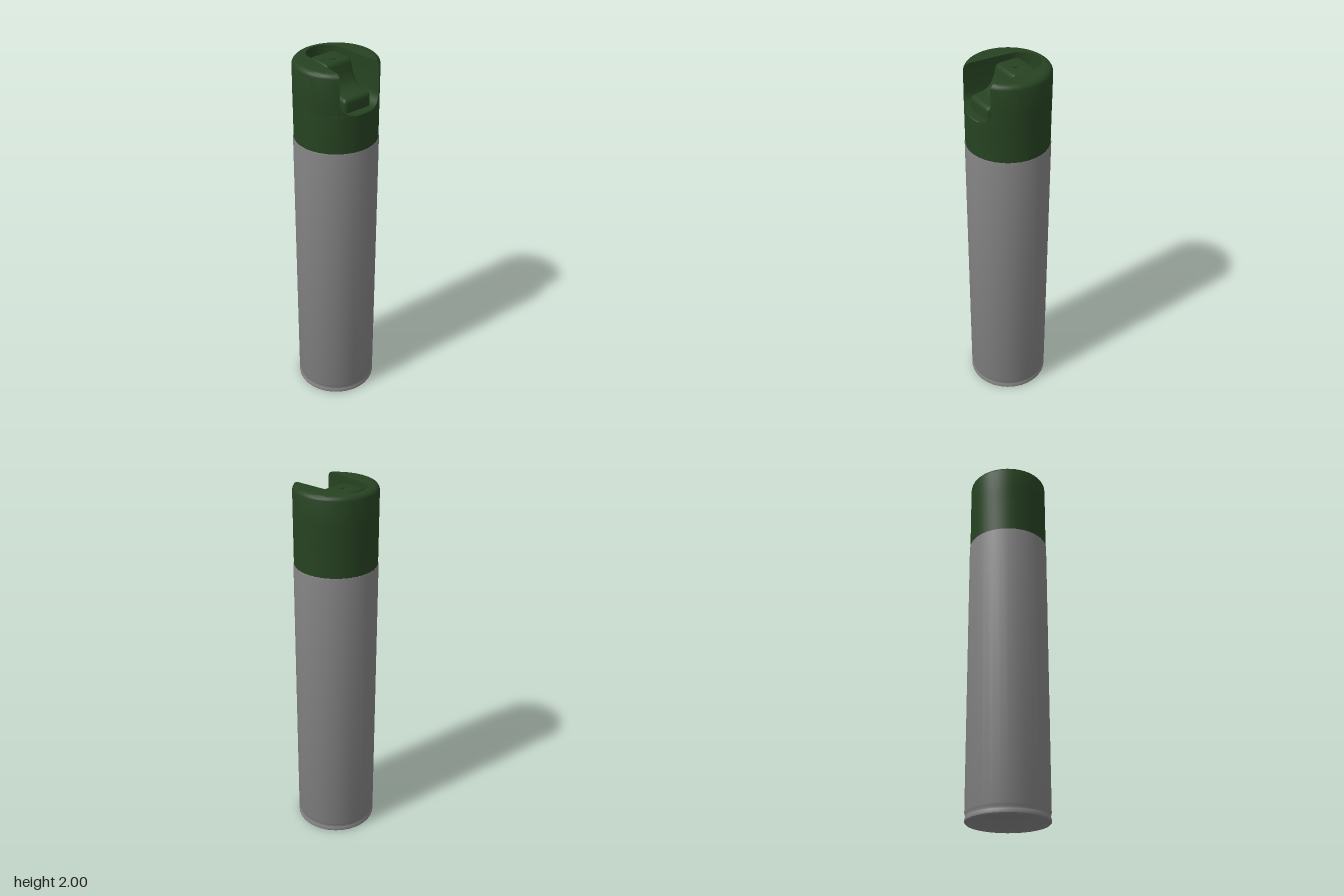
import * as THREE from 'three';
import { toCreasedNormals } from 'three/addons/utils/BufferGeometryUtils.js';

const FLOOR = 1.785, TOP = 2, CAP_R = 0.2155, FILLET = 0.065;

const grey = new THREE.MeshStandardMaterial({ color: 0x808080 });
const green = new THREE.MeshStandardMaterial({ color: 0x264221 });

function addMesh(parent, name, geometry, material) {
  const mesh = new THREE.Mesh(geometry, material);
  mesh.name = name;
  parent.add(mesh);
  return mesh;
}

function lathe(points, segments = 32) {
  const profile = points.map(([r, y]) => new THREE.Vector2(r, y));
  return toCreasedNormals(new THREE.LatheGeometry(profile, segments), 0.6);
}

// Arc round the back of the cap, ending where the tapered recess meets it
function backArc(outerR, inset) {
  const r = 0.1 - inset, backZ = -0.075, slope = 0.088;
  const a = 1 + slope * slope, b = 2 * (r * slope + backZ);
  const c = r * r + backZ * backZ - outerR * outerR;
  const tipZ = backZ + (-b + Math.sqrt(b * b - 4 * a * c)) / (2 * a);
  const tip = Math.asin(tipZ / outerR);
  const points = [];
  for (let i = 0; i <= 40; i++) {
    const t = -tip + (Math.PI + 2 * tip) * i / 40;
    points.push([outerR * Math.cos(t), -outerR * Math.sin(t)]);
  }
  return { points, tip };
}

// C-shaped outline: back arc, then the U-shaped recess wall
function wallOutline(outerR, inset) {
  const { points } = backArc(outerR, inset);
  const r = 0.1 - inset;
  for (let i = 0; i <= 20; i++) {
    const t = Math.PI * (1 - i / 20);
    points.push([r * Math.cos(t), -0.075 - r * Math.sin(t)]);
  }
  return points;
}

// Full round outline: back arc, then the front arc below the recess
function skirtOutline(frontR) {
  const { points, tip } = backArc(CAP_R, FILLET);
  for (let i = 0; i <= 20; i++) {
    const t = Math.PI + tip + (Math.PI - 2 * tip) * i / 20;
    points.push([frontR * Math.cos(t), -frontR * Math.sin(t)]);
  }
  return points;
}

// Cap shell: skirt, recess floor, filleted recess wall and rounded top edge
function capShell() {
  const round = 0.03, lip = 0.004;
  const levels = [
    [1.58, skirtOutline(CAP_R)],
    [FLOOR - lip, skirtOutline(CAP_R)],
    [FLOOR, skirtOutline(CAP_R - lip)],
  ];
  for (let i = 0; i <= 6; i++) {
    const t = Math.PI / 2 * i / 6;
    levels.push([FLOOR + FILLET * (1 - Math.cos(t)), wallOutline(CAP_R, FILLET * (1 - Math.sin(t)))]);
  }
  for (let i = 0; i <= 6; i++) {
    const t = Math.PI / 2 * i / 6;
    levels.push([TOP - round * (1 - Math.sin(t)), wallOutline(CAP_R - round * (1 - Math.cos(t)), 0)]);
  }
  const positions = [], index = [];
  for (const [y, outline] of levels) {
    for (const [x, z] of outline) positions.push(x, y, z);
  }
  const topOutline = levels[levels.length - 1][1], n = topOutline.length;
  for (let k = 0; k < levels.length - 1; k++) {
    for (let i = 0; i < n; i++) {
      const p = k * n + i, q = k * n + (i + 1) % n;
      index.push(p, q, p + n, q, q + n, p + n);
    }
  }
  const last = (levels.length - 1) * n;
  const contour = topOutline.map(([x, z]) => new THREE.Vector2(x, -z));
  for (const face of THREE.ShapeUtils.triangulateShape(contour, [])) {
    index.push(...face.map(i => last + i));
  }
  const geometry = new THREE.BufferGeometry();
  geometry.setAttribute('position', new THREE.Float32BufferAttribute(positions, 3));
  geometry.setIndex(index);
  return toCreasedNormals(geometry, 0.6);
}

// Push button: side profile (z, y) extruded across the width
function buttonBody() {
  const s = new THREE.Shape();
  s.moveTo(-0.12, FLOOR - 0.04);
  s.lineTo(0.168, FLOOR - 0.04);
  s.lineTo(0.168, 1.828);
  s.quadraticCurveTo(0.168, 1.855, 0.14, 1.856);
  s.lineTo(0.11, 1.858);
  s.bezierCurveTo(0.06, 1.865, 0.04, 1.9, 0.027, 1.96);
  s.quadraticCurveTo(0.022, 1.985, -0.002, 1.985);
  s.lineTo(-0.092, 1.985);
  s.quadraticCurveTo(-0.12, 1.985, -0.12, 1.957);
  s.closePath();
  const bevel = 0.018, width = 0.166;
  const geometry = new THREE.ExtrudeGeometry(s, {
    depth: width - 2 * bevel, curveSegments: 8, bevelEnabled: true,
    bevelSize: bevel, bevelOffset: -bevel, bevelThickness: bevel, bevelSegments: 5,
  });
  geometry.translate(0, 0, -(width / 2 - bevel));
  geometry.rotateY(-Math.PI / 2);
  return toCreasedNormals(geometry, 0.6);
}

export function createModel() {
  const model = new THREE.Group();
  model.name = 'sprayCan';

  // Can: domed underside, rolled bottom rim, neck, straight wall, shoulder
  const dome = [];
  for (let i = 0; i <= 8; i++) {
    dome.push([0.2 * i / 8, 0.075 - 0.07 * (i / 8) ** 2]);
  }
  addMesh(model, 'canBody', lathe([
    ...dome, [0.205, 0], [0.213, 0], [0.2185, 0.005], [0.2195, 0.012], [0.2185, 0.02],
    [0.214, 0.026], [0.213, 0.033], [0.2165, 0.044], [0.2185, 0.052],
    [0.2185, 1.578], [0.2165, 1.585], [0.208, 1.588], [0, 1.588],
  ]), grey);

  // Cap
  const cap = new THREE.Group();
  cap.name = 'cap';
  model.add(cap);
  addMesh(cap, 'capShell', capShell(), green);

  // Push button with a small round dimpled nozzle
  const button = new THREE.Group();
  button.name = 'button';
  cap.add(button);
  addMesh(button, 'buttonBody', buttonBody(), green);
  const nozzle = addMesh(button, 'nozzle',
    lathe([[0.019, 1.984], [0.019, 1.989], [0.0175, 1.989], [0.01, 1.9865], [0, 1.9855]], 24), green);
  nozzle.position.z = -0.032;

  return model;
}
